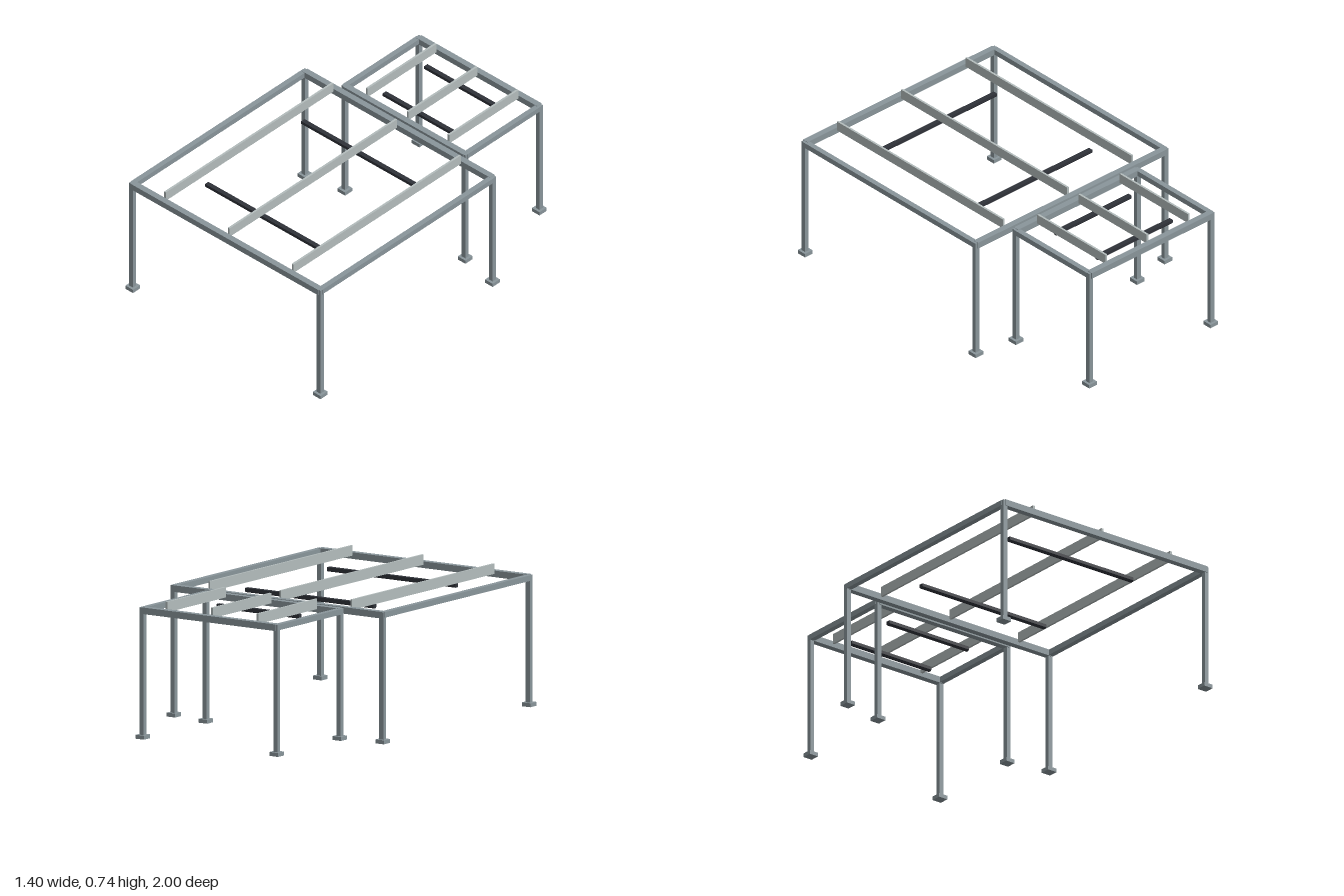
import * as THREE from 'three';

const material = (name, color) => {
  const m = new THREE.MeshStandardMaterial({ color });
  m.name = name;
  return m;
};

export function createModel() {
  const steel = material('steelGrey', 0x89959a);
  const paleSteel = material('paleSteel', 0xb3bcbc);
  const charcoal = material('charcoal', 0x2f3239);

  const box = (parent, name, mat, size, pos) => {
    const mesh = new THREE.Mesh(new THREE.BoxGeometry(...size), mat);
    mesh.name = name;
    mesh.position.set(...pos);
    parent.add(mesh);
  };

  // Long bar along x with chamfered lower edges
  const hangingBar = (parent, halfLength, z) => {
    const w = 0.013, c = 0.006, top = 0.67, bottom = 0.647;
    const profile = new THREE.Shape([
      [-w, top], [-w, bottom + c], [-w + c, bottom],
      [w - c, bottom], [w, bottom + c], [w, top],
    ].map(([x, y]) => new THREE.Vector2(x, y)));
    const geometry = new THREE.ExtrudeGeometry(profile, { depth: halfLength * 2, bevelEnabled: false });
    geometry.translate(0, 0, -halfLength);
    geometry.rotateY(Math.PI / 2);
    const mesh = new THREE.Mesh(geometry, charcoal);
    mesh.name = 'hangingBar';
    mesh.position.z = z;
    parent.add(mesh);
  };

  // One rectangular canopy frame; x and z values are post centre lines
  const frame = ({ name, halfX, front, back, rafterX, rafterFront, rafterBack, barHalf, bars }) => {
    const g = new THREE.Group();
    g.name = name;
    const midZ = (front + back) / 2, depth = front - back;

    for (const z of [front, back]) {
      // Posts on square feet
      for (const x of [-halfX, halfX]) {
        box(g, 'post', steel, [0.026, 0.68, 0.026], [x, 0.36, z]);
        box(g, 'foot', steel, [0.055, 0.021, 0.055], [x, 0.0105, z]);
      }
      box(g, 'crossBeam', steel, [halfX * 2, 0.035, 0.035], [0, 0.6845, z]);
    }
    for (const x of [-halfX, halfX]) {
      box(g, 'sideBeam', steel, [0.03, 0.03, depth], [x, 0.685, midZ]);
    }
    // Upright rafters
    for (const x of [-rafterX, 0, rafterX]) {
      box(g, 'rafter', paleSteel, [0.012, 0.055, rafterFront - rafterBack],
        [x, 0.7125, (rafterFront + rafterBack) / 2]);
    }
    for (const z of bars) hangingBar(g, barHalf, z);
    return g;
  };

  const model = new THREE.Group();
  model.name = 'canopyFrames';
  model.add(
    frame({
      name: 'largeFrame', halfX: 0.672, front: 0.971, back: -0.353,
      rafterX: 0.457, rafterFront: 0.953, rafterBack: -0.335,
      barHalf: 0.413, bars: [0.68, -0.06],
    }),
    frame({
      name: 'smallFrame', halfX: 0.431, front: -0.402, back: -0.972,
      rafterX: 0.293, rafterFront: -0.422, rafterBack: -0.952,
      barHalf: 0.265, bars: [-0.527, -0.846],
    }),
  );
  return model;
}
